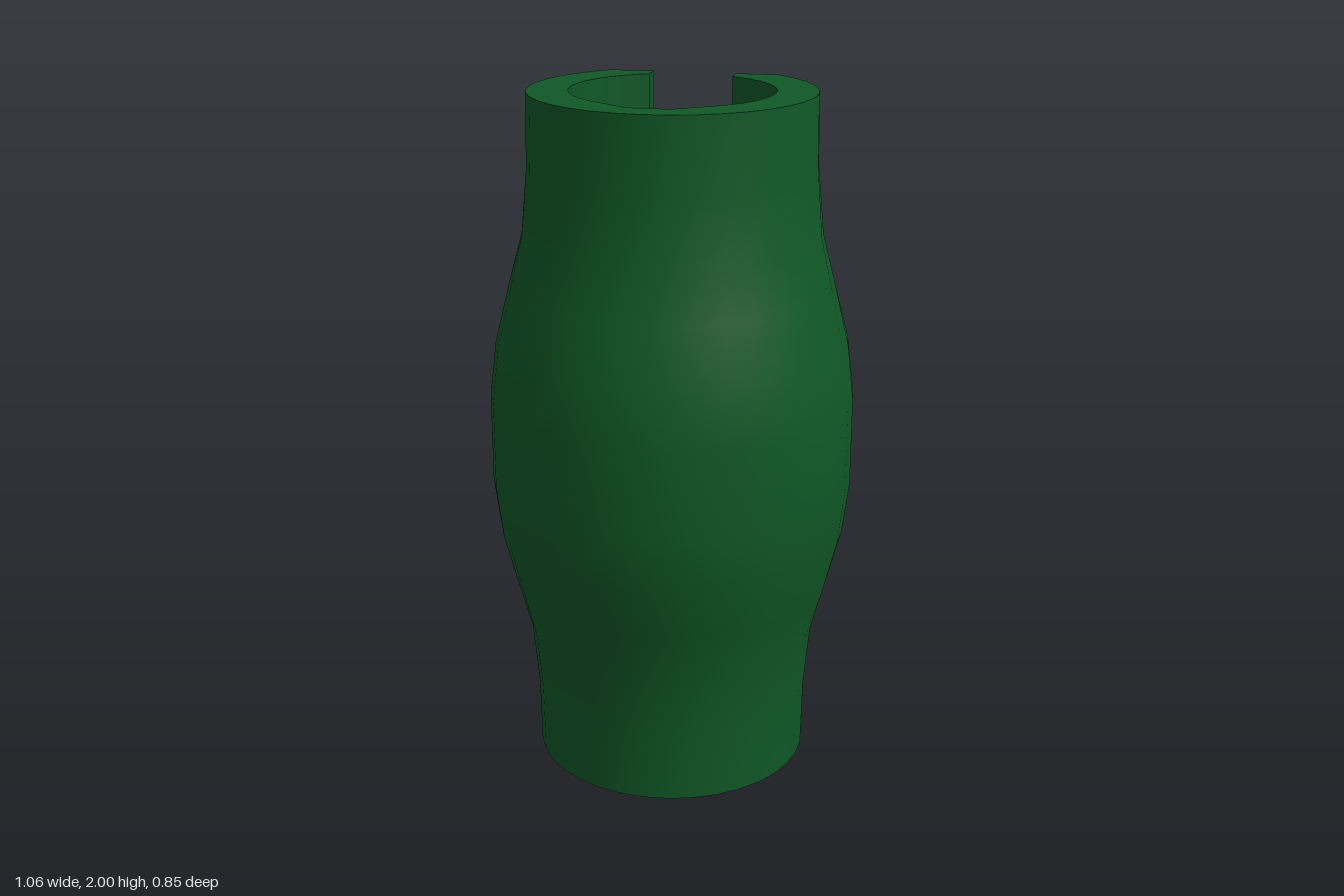
import * as THREE from 'three';

const AXIS_Z = -0.106, BACK_Z = -0.426, DEPTH = AXIS_Z - BACK_Z;
const BORE = 0.288, SLOT = 0.122, HEIGHT = 2;
const WEB_LOW = 0.96, WEB_HIGH = 1.04;

// Bulging outer profile: [height, radius], mirrored about the middle
const half = [[0, 0.405], [0.21, 0.409], [0.4, 0.427], [0.55, 0.467], [0.71, 0.508], [0.87, 0.528]];
const profile = [...half, ...half.map(([y, r]) => [HEIGHT - y, r]).reverse()];

// Surface through a grid of points p(i, j); it faces along (i direction) x (j direction)
function grid(ni, nj, p) {
  const pos = [], index = [], w = ni + 1;
  for (let j = 0; j <= nj; j++) for (let i = 0; i <= ni; i++) pos.push(...p(i, j));
  for (let j = 0; j < nj; j++) for (let i = 0; i < ni; i++) {
    const a = j * w + i;
    index.push(a, a + 1, a + w + 1, a, a + w + 1, a + w);
  }
  const g = new THREE.BufferGeometry();
  g.setAttribute('position', new THREE.Float32BufferAttribute(pos, 3));
  g.setIndex(index);
  g.computeVertexNormals();
  return g;
}

// Points [x, z] of an arc about the axis; angle 0 points to the front
function arc(r, from, to, n) {
  return Array.from({ length: n + 1 }, (_, i) => {
    const t = from + (to - from) * i / n;
    return [r * Math.sin(t), AXIS_Z + r * Math.cos(t)];
  });
}
const cutAngle = (r) => Math.PI - Math.acos(DEPTH / r);

// Horizontal outline to a shape; flip gives the downward-facing version
const toShape = (pts, flip = 1) => new THREE.Shape(pts.map(([x, z]) => new THREE.Vector2(x, -flip * z)));

export function createModel() {
  const model = new THREE.Group();
  const green = new THREE.MeshStandardMaterial({ color: 0x105826 });
  const add = (name, geometry) => {
    const mesh = new THREE.Mesh(geometry, green);
    mesh.name = name;
    model.add(mesh);
    return mesh;
  };

  // Curved outside, cut off flat at the back
  const rings = profile.map(([, r]) => arc(r, -cutAngle(r), cutAngle(r), 28));
  add('outerShell', grid(28, profile.length - 1, (i, j) => [rings[j][i][0], profile[j][0], rings[j][i][1]]));

  // Bore outline, from the left side of the slot round the front to the right side
  const slotAngle = Math.PI - Math.asin(SLOT / BORE);
  const tangent = Math.atan2(0.17, 0.234);
  const leftArc = arc(BORE, slotAngle, tangent, 20);
  const rightArc = arc(BORE, -tangent, -slotAngle, 20);
  const flatL = [0.06, 0.205], flatR = [-0.06, 0.205];
  const pieces = [
    [[SLOT, BACK_Z], leftArc[0]],
    leftArc,
    [leftArc[20], flatL],
    [flatL, flatR],
    [flatR, rightArc[0]],
    rightArc,
    [rightArc[20], [-SLOT, BACK_Z]],
  ];
  for (const [name, y0, y1] of [['lowerBore', 0, WEB_LOW], ['upperBore', WEB_HIGH, HEIGHT]]) {
    for (const line of pieces) {
      add(name, grid(line.length - 1, 1, (i, j) => [line[i][0], j ? y1 : y0, line[i][1]]));
    }
  }

  // Partition across the middle of the bore
  const bore = [[SLOT, BACK_Z], ...leftArc, flatL, flatR, ...rightArc, [-SLOT, BACK_Z]];
  const web = new THREE.ExtrudeGeometry(toShape(bore), { depth: WEB_HIGH - WEB_LOW, bevelEnabled: false });
  add('partition', web.rotateX(-Math.PI / 2).translate(0, WEB_LOW, 0));

  // Open ring faces at both ends
  const section = [...rings[0], ...bore];
  add('topRim', new THREE.ShapeGeometry(toShape(section)).rotateX(-Math.PI / 2).translate(0, HEIGHT, 0));
  add('bottomRim', new THREE.ShapeGeometry(toShape(section, -1)).rotateX(Math.PI / 2));

  // Flat back faces on either side of the slot
  for (const s of [-1, 1]) {
    const edge = profile.map(([y, r]) => new THREE.Vector2(s * Math.sqrt(r * r - DEPTH * DEPTH), y));
    const shape = new THREE.Shape([new THREE.Vector2(s * SLOT, 0), ...edge, new THREE.Vector2(s * SLOT, HEIGHT)]);
    add(s < 0 ? 'backFaceLeft' : 'backFaceRight',
      new THREE.ShapeGeometry(shape).rotateY(Math.PI).translate(0, 0, BACK_Z));
  }
  return model;
}
